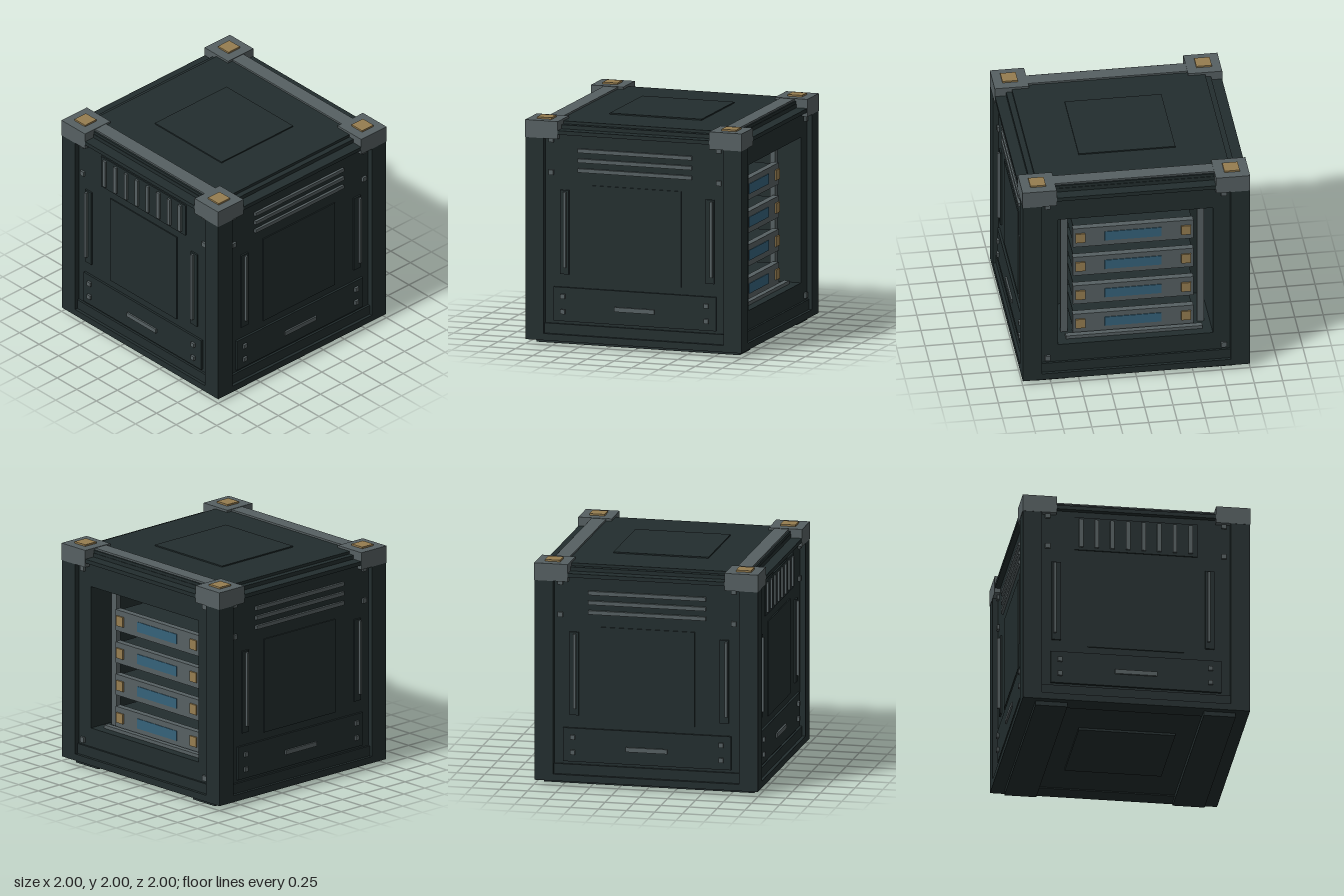
import * as THREE from 'three';

const mat = (name, hex) => {
  const m = new THREE.MeshStandardMaterial({ color: hex });
  m.name = name;
  return m;
};

export function createModel() {
  const dark = mat('darkCasing', 0x222d2e);
  const grey = mat('steelGrey', 0x566062);
  const gold = mat('brass', 0x967d50);
  const blue = mat('displayBlue', 0x35627a);
  const model = new THREE.Group();
  model.name = 'serverCube';

  // Box given by its min and max on each axis
  const box = (parent, name, m, x0, x1, y0, y1, z0, z1) => {
    const mesh = new THREE.Mesh(new THREE.BoxGeometry(x1 - x0, y1 - y0, z1 - z0), m);
    mesh.position.set((x0 + x1) / 2, (y0 + y1) / 2, (z0 + z1) / 2);
    mesh.name = name;
    parent.add(mesh);
    return mesh;
  };
  const group = (name, angle = 0) => {
    const g = new THREE.Group();
    g.name = name;
    g.rotation.y = angle;
    model.add(g);
    return g;
  };

  // Hollow casing, open at the back
  const casing = group('casing');
  box(casing, 'core', dark, -0.95, 0.95, 0.1, 1.9, -0.3, 0.95);
  for (const s of [-1, 1]) {
    const a = s * 0.68, b = s * 0.95;
    box(casing, 'bayWall', dark, Math.min(a, b), Math.max(a, b), 0.1, 1.9, -0.95, -0.3);
  }
  box(casing, 'bayCeiling', dark, -0.68, 0.68, 1.65, 1.9, -0.95, -0.3);
  box(casing, 'bayFloor', dark, -0.68, 0.68, 0.1, 0.36, -0.95, -0.3);
  box(casing, 'roofStep', dark, -0.9, 0.9, 1.89, 1.94, -0.9, 0.9);
  box(casing, 'roofPanel', dark, -0.85, 0.85, 1.93, 1.965, -0.895, 0.895);
  box(casing, 'roofPlate', dark, -0.425, 0.425, 1.96, 1.976, -0.425, 0.425);
  box(casing, 'basePanel', dark, -0.9, 0.9, 0.05, 0.11, -0.9, 0.9);
  box(casing, 'basePlate', dark, -0.425, 0.425, 0.03, 0.06, -0.425, 0.425);

  // Corner posts, steel caps, brass pads and skids
  for (const sx of [-1, 1]) {
    for (const sz of [-1, 1]) {
      const corner = (name, m, a, b, y0, y1) => box(casing, name, m,
        Math.min(sx * a, sx * b), Math.max(sx * a, sx * b), y0, y1,
        Math.min(sz * a, sz * b), Math.max(sz * a, sz * b));
      corner('cornerPost', dark, 0.83, 0.998, 0.04, 1.9);
      corner('cornerCap', grey, 0.7, 1, 1.83, 1.985);
      corner('capPad', gold, 0.785, 0.92, 1.98, 2);
    }
    box(casing, 'skid', dark, sx * 0.74 - 0.14, sx * 0.74 + 0.14, 0, 0.06, -0.94, 0.94);
    box(casing, 'roofRail', grey, -0.7, 0.7, 1.955, 1.981, sx * 0.815 - 0.065, sx * 0.815 + 0.065);
  }

  // Top and bottom beams on all four faces, each face built facing +z
  const faces = ['front', 'rightSide', 'back', 'leftSide'].map((n, i) => group(n + 'Face', i * Math.PI / 2));
  for (const f of faces) {
    box(f, 'topBeam', dark, -0.83, 0.83, 1.87, 1.905, 0.83, 0.998);
    box(f, 'bottomBeam', dark, -0.83, 0.83, 0.04, 0.1, 0.83, 0.998);
    box(f, 'sill', dark, -0.83, 0.83, 0.09, 0.19, 0.9, 0.97);
  }
  const bolt = (f, x, y, r, z) => box(f, 'bolt', grey, x - r, x + r, y - r, y + r, z - 0.01, z + 0.02);

  // Shared panel details for the three closed faces
  const dressFace = (f, handles, boltX) => {
    box(f, 'centrePlate', dark, -0.425, 0.425, 0.58, 1.43, 0.94, 0.96);
    box(f, 'lowerPlate', dark, -0.75, 0.75, 0.215, 0.515, 0.94, 0.97);
    box(f, 'lowerPull', grey, -0.185, 0.185, 0.33, 0.37, 0.96, 0.985);
    for (const x of boltX) for (const y of [0.3, 0.435]) bolt(f, x, y, 0.02, 0.97);
    for (const x of [-0.775, 0.775]) for (const y of [1.525, 1.815]) bolt(f, x, y, 0.022, 0.95);
    for (const [x, bar] of handles) {
      box(f, 'handlePlate', dark, x - 0.04, x + 0.04, 0.63, 1.375, 0.94, 0.965);
      box(f, 'handleBar', grey, bar - 0.011, bar + 0.011, 0.69, 1.36, 0.96, 0.988);
    }
  };
  dressFace(faces[0], [[-0.7, -0.714], [0.65, 0.64]], [-0.67, 0.655]);
  for (const f of [faces[1], faces[3]]) {
    dressFace(f, [[-0.65, -0.643], [0.69, 0.71]], [-0.66, 0.665]);
    for (const y of [1.558, 1.645, 1.732]) box(f, 'sideLouvre', grey, -0.525, 0.525, y - 0.017, y + 0.017, 0.94, 0.972);
  }

  // Front vent with upright fins
  box(faces[0], 'ventPlate', dark, -0.54, 0.54, 1.505, 1.815, 0.94, 0.962);
  for (let i = 0; i < 8; i++) {
    const x = -0.483 + i * 0.1375;
    box(faces[0], 'ventFin', grey, x - 0.018, x + 0.018, 1.53, 1.795, 0.95, 0.98);
  }

  // Back bay: trays, slide rails and lower lip
  const back = faces[2];
  for (const x of [-0.775, 0.775]) for (const y of [0.235, 1.8]) bolt(back, x, y, 0.024, 0.95);
  for (let i = 0; i < 4; i++) {
    const top = 1.445 - i * 0.294, mid = top - 0.095;
    box(back, 'tray', grey, -0.53, 0.53, top - 0.19, top, 0.74, 0.8);
    box(back, 'trayBody', dark, -0.52, 0.52, top - 0.18, top - 0.01, 0.3, 0.74);
    box(back, 'trayDisplay', blue, -0.25, 0.25, mid - 0.045, mid + 0.045, 0.799, 0.806);
    for (const x of [-0.465, 0.465]) box(back, 'trayLatch', gold, x - 0.042, x + 0.042, mid - 0.045, mid + 0.045, 0.795, 0.815);
  }
  for (const x of [-0.6, 0.6]) box(back, 'slideRail', grey, x - 0.03, x + 0.03, 0.36, 1.64, 0.7, 0.75);
  box(back, 'bayLip', grey, -0.6, 0.6, 0.355, 0.39, 0.82, 0.87);

  return model;
}
